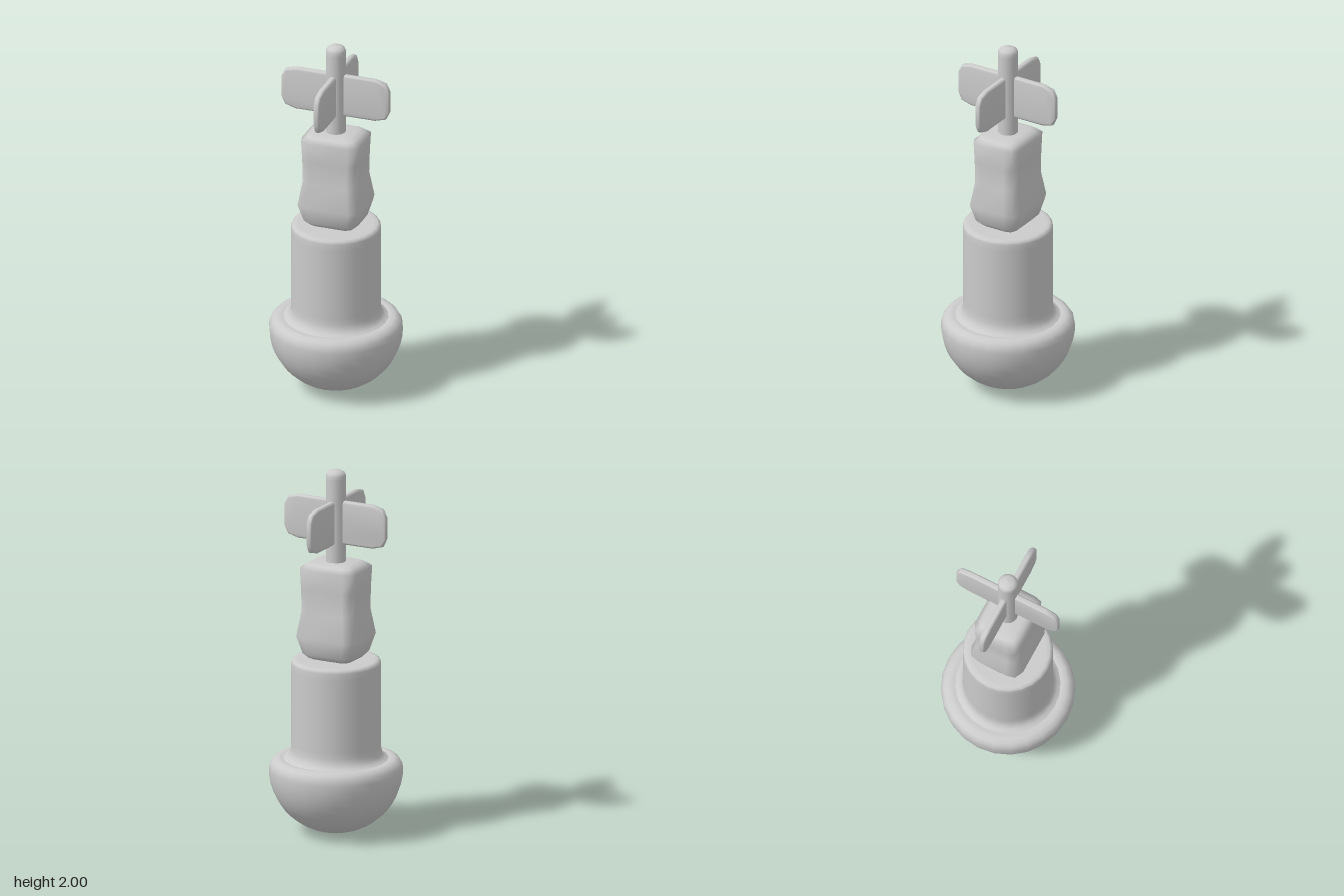
import * as THREE from 'three';
import { toCreasedNormals } from 'three/addons/utils/BufferGeometryUtils.js';

const material = new THREE.MeshStandardMaterial({ color: 0xcccccc });

function part(name, geometry) {
  const mesh = new THREE.Mesh(geometry, material);
  mesh.name = name;
  return mesh;
}

function lathe(points, sides) {
  return new THREE.LatheGeometry(points.map(([r, y]) => new THREE.Vector2(r, y)), sides);
}

// Closed loft of soft-cornered rectangles; each section is [y, halfX, halfZ]
function loftBlock(sections) {
  const quarter = [[1, 0.54], [0.93, 0.86], [0.68, 1]];
  const outline = [
    ...quarter,
    ...quarter.map(([x, z]) => [-x, z]).reverse(),
    ...quarter.map(([x, z]) => [-x, -z]),
    ...quarter.map(([x, z]) => [x, -z]).reverse(),
  ];
  const n = outline.length, positions = [], index = [];
  for (const [y, hx, hz] of sections) {
    for (const [x, z] of outline) positions.push(x * hx, y, z * hz);
  }
  const last = (sections.length - 1) * n, bottom = sections.length * n, top = bottom + 1;
  positions.push(0, sections[0][0], 0, 0, sections.at(-1)[0], 0);
  for (let j = 0; j < n; j++) {
    const k = (j + 1) % n;
    for (let i = 0; i < last; i += n) {
      index.push(i + j, i + n + j, i + k, i + k, i + n + j, i + n + k);
    }
    index.push(bottom, j, k, top, last + k, last + j);
  }
  const geometry = new THREE.BufferGeometry();
  geometry.setAttribute('position', new THREE.Float32BufferAttribute(positions, 3));
  geometry.setIndex(index);
  geometry.computeVertexNormals();
  return geometry;
}

// Thin blade with clipped corners and softened edges, spanning the rod
function bladeGeometry() {
  const bevel = 0.012;
  const corner = [[0.305, 0.07], [0.288, 0.105], [0.235, 0.12]].map(([x, y]) => [x - bevel, y - bevel]);
  const outline = [
    ...corner,
    ...corner.map(([x, y]) => [-x, y]).reverse(),
    ...corner.map(([x, y]) => [-x, -y]),
    ...corner.map(([x, y]) => [x, -y]).reverse(),
  ];
  const shape = new THREE.Shape(outline.map(([x, y]) => new THREE.Vector2(x, y)));
  const geometry = new THREE.ExtrudeGeometry(shape, {
    depth: 0.01, bevelEnabled: true, bevelThickness: bevel, bevelSize: bevel, bevelSegments: 3,
  });
  geometry.translate(0, 0, -0.005);
  return toCreasedNormals(geometry, 0.9);
}

export function createModel() {
  const model = new THREE.Group();
  model.name = 'finnedBody';

  // Rounded bowl with a rolled rim
  const bowl = [];
  for (let i = 0; i <= 12; i++) {
    const a = (i / 12) * Math.PI / 2;
    bowl.push([0.357 * Math.sin(a), 0.35 - 0.345 * Math.cos(a)]);
  }
  bowl.push([0.352, 0.378], [0.338, 0.4], [0.315, 0.412], [0.29, 0.412], [0.25, 0.406], [0, 0.406]);
  model.add(part('noseBowl', lathe(bowl, 24)));

  // Cylinder with flared foot and softened top edge
  model.add(part('body', lathe([
    [0.285, 0.408], [0.262, 0.418], [0.247, 0.438], [0.24, 0.465], [0.24, 0.5], [0.24, 0.9],
    [0.24, 0.937], [0.235, 0.95], [0.222, 0.957], [0.2, 0.957], [0, 0.957],
  ], 24)));

  // Waisted block
  model.add(part('block', loftBlock([
    [0.957, 0.09, 0.075], [0.968, 0.125, 0.105], [0.995, 0.152, 0.13], [1.09, 0.181, 0.155],
    [1.23, 0.157, 0.132], [1.35, 0.16, 0.134], [1.463, 0.166, 0.138],
    [1.485, 0.135, 0.113], [1.497, 0.105, 0.088],
  ])));

  // Rod with a domed end
  model.add(part('rod', lathe([
    [0, 1.47], [0.053, 1.47], [0.053, 1.5], [0.053, 1.95], [0.053, 1.972],
    [0.046, 1.986], [0.03, 1.996], [0, 2],
  ], 16)));

  // Crossed fins
  const blade = bladeGeometry();
  for (let i = 0; i < 2; i++) {
    const fin = part(i ? 'finPairFrontBack' : 'finPairLeftRight', blade);
    fin.position.y = 1.715;
    fin.rotation.y = i * Math.PI / 2;
    model.add(fin);
  }
  return model;
}
